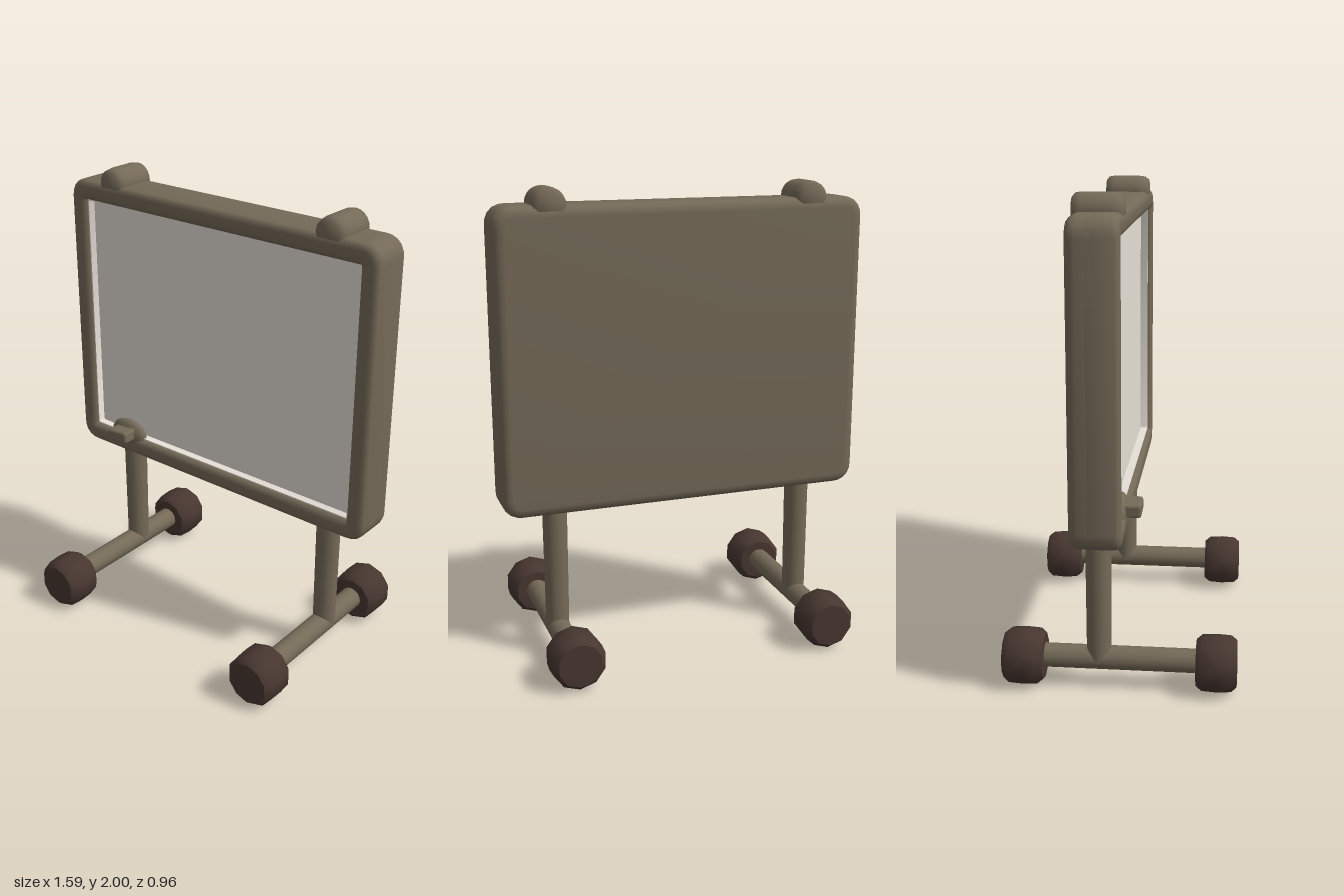
import * as THREE from 'three';
import { toCreasedNormals } from 'three/addons/utils/BufferGeometryUtils.js';
import { RoundedBoxGeometry } from 'three/addons/geometries/RoundedBoxGeometry.js';

const material = (name, color) => {
  const m = new THREE.MeshStandardMaterial({ color });
  m.name = name;
  return m;
};

// Rounded rectangle path centred on the origin
function roundedRect(path, w, h, r) {
  const x = w / 2, y = h / 2;
  path.moveTo(-x + r, -y);
  path.lineTo(x - r, -y);
  path.quadraticCurveTo(x, -y, x, -y + r);
  path.lineTo(x, y - r);
  path.quadraticCurveTo(x, y, x - r, y);
  path.lineTo(-x + r, y);
  path.quadraticCurveTo(-x, y, -x, y - r);
  path.lineTo(-x, -y + r);
  path.quadraticCurveTo(-x, -y, -x + r, -y);
  return path;
}

// Rounded plate or ring with soft edges; z0 and z1 are its back and front
function plate(outer, hole, z0, z1, bevel) {
  const shape = roundedRect(new THREE.Shape(), ...outer);
  if (hole) shape.holes.push(roundedRect(new THREE.Path(), ...hole));
  const geo = new THREE.ExtrudeGeometry(shape, {
    depth: z1 - z0 - 2 * bevel, bevelEnabled: bevel > 0, bevelThickness: bevel,
    bevelSize: bevel, bevelSegments: 4, curveSegments: 5,
  });
  geo.translate(0, 0, z0 + bevel);
  return toCreasedNormals(geo, 0.7);
}

// Solid turned about the z axis
function turned(points, sides) {
  const geo = new THREE.LatheGeometry(points.map(([r, z]) => new THREE.Vector2(r, z)), sides);
  return toCreasedNormals(geo.rotateX(Math.PI / 2), 0.85);
}

export function createModel() {
  const model = new THREE.Group();
  model.name = 'wheeledBoard';
  const frameMat = material('frame taupe', 0x756a58);
  const panelMat = material('panel off-white', 0xe6e0d7);
  const wheelMat = material('wheel dark brown', 0x483731);

  const add = (name, geometry, mat, x, y, z, parent = model) => {
    const mesh = new THREE.Mesh(geometry, mat);
    mesh.name = name;
    mesh.position.set(x, y, z);
    parent.add(mesh);
    return mesh;
  };

  // Board: solid backing, raised soft rim, inset writing panel with lined edges
  const boardY = 1.296;
  add('boardBacking', plate([1.508, 1.19, 0.045], null, -0.177, -0.04, 0.04), frameMat, 0, boardY, 0);
  add('boardRim', plate([1.528, 1.21, 0.055], [1.475, 1.15, 0.035], -0.13, 0.025, 0.03), frameMat, 0, boardY, 0);
  add('writingPanel', new THREE.BoxGeometry(1.42, 1.1, 0.009), panelMat, 0, boardY, -0.0345);
  add('panelLining', plate([1.425, 1.1, 0.012], [1.41, 1.084, 0.01], -0.035, 0.004, 0), panelMat, 0, boardY, 0);

  // Small holder and peg low on the front
  const holder = add('pegHolder', new THREE.SphereGeometry(1, 16, 10), frameMat, -0.515, 0.745, -0.004);
  holder.scale.set(0.105, 0.077, 0.037);
  const peg = add('peg', new RoundedBoxGeometry(0.11, 0.055, 0.1, 2, 0.012), frameMat, -0.515, 0.765, 0.036);
  peg.rotation.z = 0.06;

  // Chunky many-sided wheel and rounded lug, both turned
  const wheelGeo = turned([
    [0, -0.085], [0.094, -0.083], [0.114, -0.06], [0.118, 0], [0.114, 0.06], [0.094, 0.083], [0, 0.085],
  ], 10);
  const lugGeo = turned([
    [0, -0.096], [0.052, -0.096], [0.066, -0.085], [0.07, -0.06], [0.07, 0.05], [0.066, 0.083], [0.052, 0.098], [0, 0.098],
  ], 20);

  for (const side of [-1, 1]) {
    const x = side * 0.56 + 0.003;
    const stand = new THREE.Group();
    stand.name = side > 0 ? 'leftStand' : 'rightStand';
    model.add(stand);

    // Lug on the top edge
    add('topLug', lugGeo, frameMat, x, 1.93, -0.077, stand);

    // Upright, foot bar and a wheel at each end
    add('upright', new THREE.CylinderGeometry(0.053, 0.05, 0.58, 16), frameMat, x, 0.41, -0.087, stand);
    const footGeo = new THREE.CylinderGeometry(0.049, 0.049, 0.7, 16);
    footGeo.rotateX(Math.PI / 2);
    add('footBar', footGeo, frameMat, x, 0.127, 0, stand);
    for (const end of [-1, 1]) {
      add(end > 0 ? 'frontWheel' : 'backWheel', wheelGeo, wheelMat, x, 0.122, end * 0.393, stand);
    }
  }
  return model;
}
